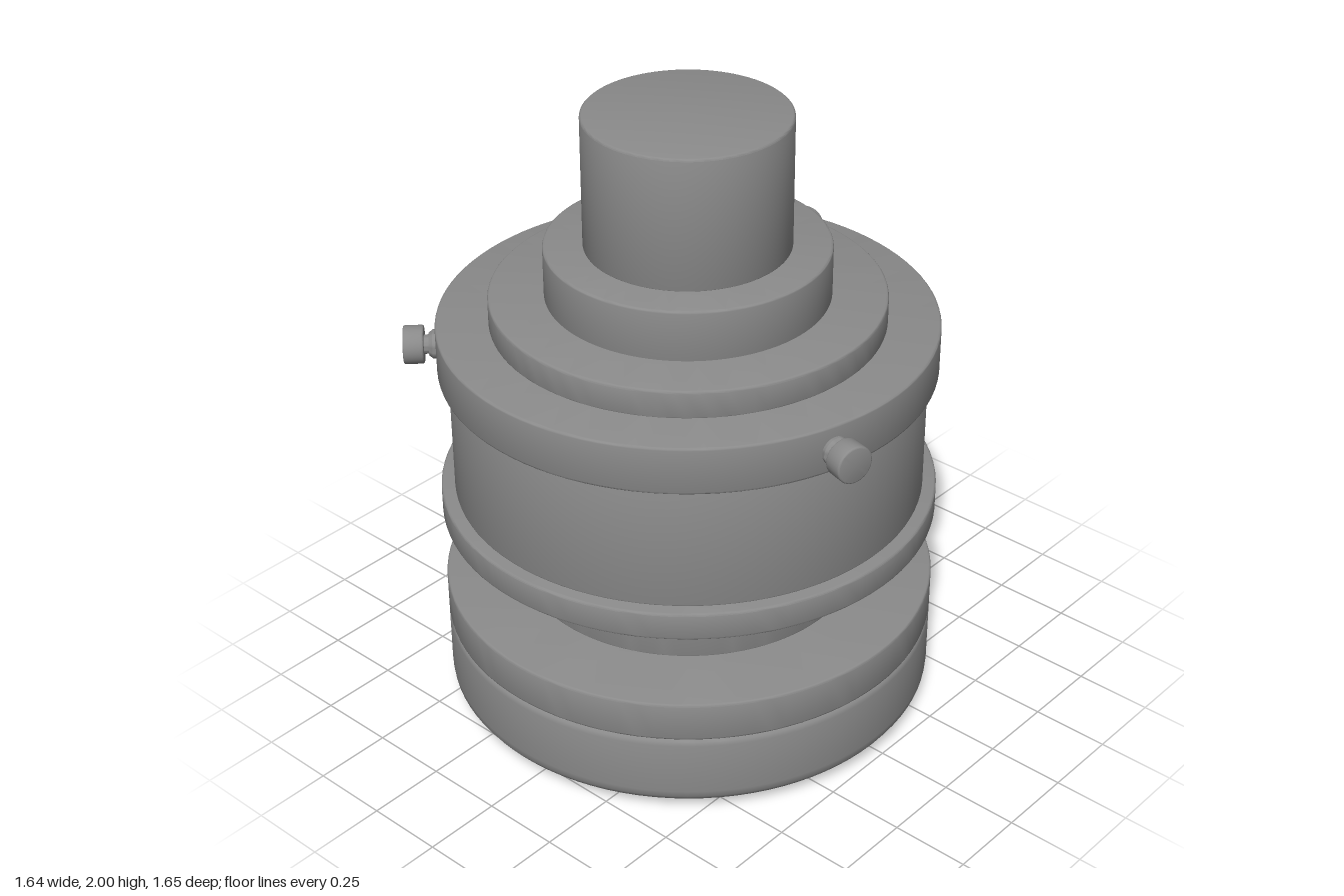
import * as THREE from 'three';
import { toCreasedNormals } from 'three/addons/utils/BufferGeometryUtils.js';

const material = new THREE.MeshStandardMaterial({ color: 0x8a8a8a });

// Solid of revolution from [radius, height] pairs listed bottom to top
function turned(name, profile, segments = 96) {
  const points = profile.map(([r, y]) => new THREE.Vector2(r, y));
  const geometry = toCreasedNormals(new THREE.LatheGeometry(points, segments), 0.6);
  const mesh = new THREE.Mesh(geometry, material);
  mesh.name = name;
  return mesh;
}

// Disc with small rounded rims
function disc(name, r, y0, y1, b = 0.008, segments = 96) {
  const profile = [[0, y0]];
  for (let i = 0; i <= 3; i++) {
    const a = (i / 3) * Math.PI / 2;
    profile.push([r - b + b * Math.sin(a), y0 + b - b * Math.cos(a)]);
  }
  for (let i = 0; i <= 3; i++) {
    const a = (i / 3) * Math.PI / 2;
    profile.push([r - b + b * Math.cos(a), y1 - b + b * Math.sin(a)]);
  }
  profile.push([0, y1]);
  return turned(name, profile, segments);
}

// Thumbscrew built along +y, then laid along +x
function thumbscrew() {
  const screw = new THREE.Group();
  screw.name = 'thumbscrew';
  screw.add(
    disc('screwShank', 0.03, 0.7, 0.82, 0.002, 32),
    turned('screwCollar', [[0, 0.755], [0.045, 0.755], [0.045, 0.785], [0.036, 0.797], [0, 0.797]], 32),
    disc('screwHead', 0.06, 0.812, 0.875, 0.005, 32),
  );
  screw.rotation.z = -Math.PI / 2;
  return screw;
}

export function createModel() {
  const model = new THREE.Group();
  model.name = 'steppedHousing';

  // Base with a shallow domed underside and rounded rims
  model.add(turned('base', [
    [0, 0], [0.3, 0.004], [0.55, 0.014], [0.7, 0.028], [0.745, 0.038],
    [0.772, 0.052], [0.784, 0.07], [0.786, 0.09],
    [0.786, 0.267], [0.782, 0.28], [0.774, 0.288], [0.76, 0.291], [0, 0.291],
  ]));

  // Stacked cylindrical steps: name, radius, bottom, top
  const steps = [
    ['lowerFlange', 0.786, 0.291, 0.424],
    ['neck', 0.542, 0.418, 0.675],
    ['middleFlange', 0.786, 0.667, 0.76],
    ['drum', 0.743, 0.755, 1.18],
    ['collar', 0.776, 1.171, 1.326],
    ['wideStep', 0.612, 1.32, 1.414],
    ['narrowStep', 0.44, 1.405, 1.577],
    ['spindle', 0.318, 1.57, 2],
  ];
  for (const [name, r, y0, y1] of steps) model.add(disc(name, r, y0, y1));

  // Three screws evenly spaced around the collar
  for (const degrees of [15.5, 135.5, 255.5]) {
    const mount = new THREE.Group();
    mount.name = 'screwMount';
    mount.add(thumbscrew());
    mount.position.y = 1.243;
    mount.rotation.y = -THREE.MathUtils.degToRad(degrees);
    model.add(mount);
  }

  // Offset so the overall bounds, screws included, are centred
  model.position.set(-0.038, 0, 0.038);
  const root = new THREE.Group();
  root.name = 'model';
  root.add(model);
  return root;
}
